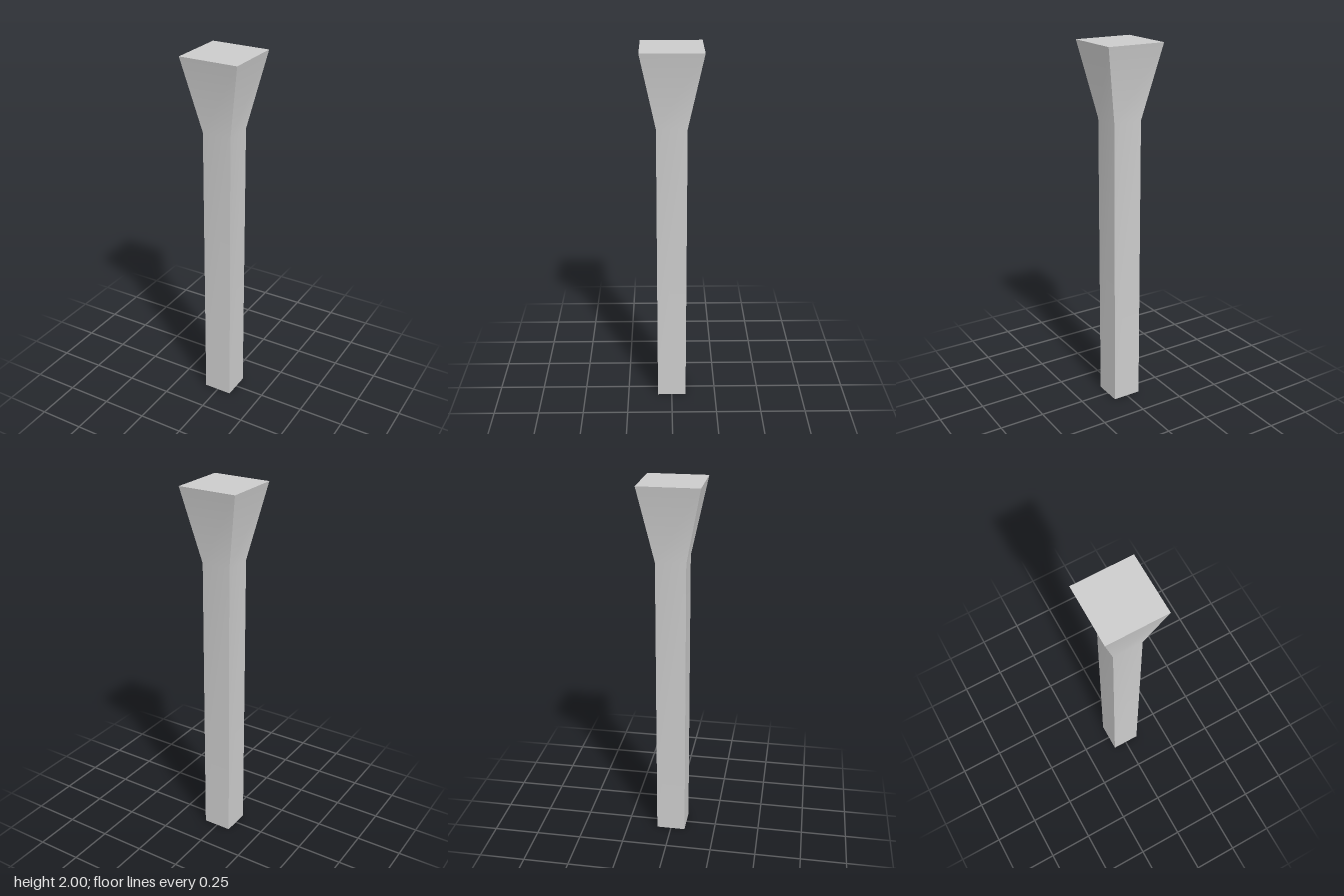
import * as THREE from 'three';

const HEIGHT = 2;
const FLARE_START = 1.6;
const SHAFT_WIDTH = 0.16;
const TOP_WIDTH = 0.32;

// Square post whose upper part flares out into a wider flat top
function flaredPost() {
  const geometry = new THREE.BoxGeometry(SHAFT_WIDTH, HEIGHT, SHAFT_WIDTH, 1, 2, 1);
  geometry.translate(0, HEIGHT / 2, 0);
  const pos = geometry.attributes.position;
  for (let i = 0; i < pos.count; i++) {
    const y = pos.getY(i);
    if (y > HEIGHT - 0.01) {
      // top ring widens
      const s = TOP_WIDTH / SHAFT_WIDTH;
      pos.setXYZ(i, pos.getX(i) * s, HEIGHT, pos.getZ(i) * s);
    } else if (y > 0.01) {
      // middle ring marks the start of the flare
      pos.setY(i, FLARE_START);
    }
  }
  // Each side keeps its own vertices: sharp corners, soft bend into the flare
  geometry.computeVertexNormals();
  return geometry;
}

export function createModel() {
  const group = new THREE.Group();
  group.name = 'column';
  const post = new THREE.Mesh(flaredPost(), new THREE.MeshStandardMaterial({ color: 0xcccccc }));
  post.name = 'flaredPost';
  group.add(post);
  return group;
}
